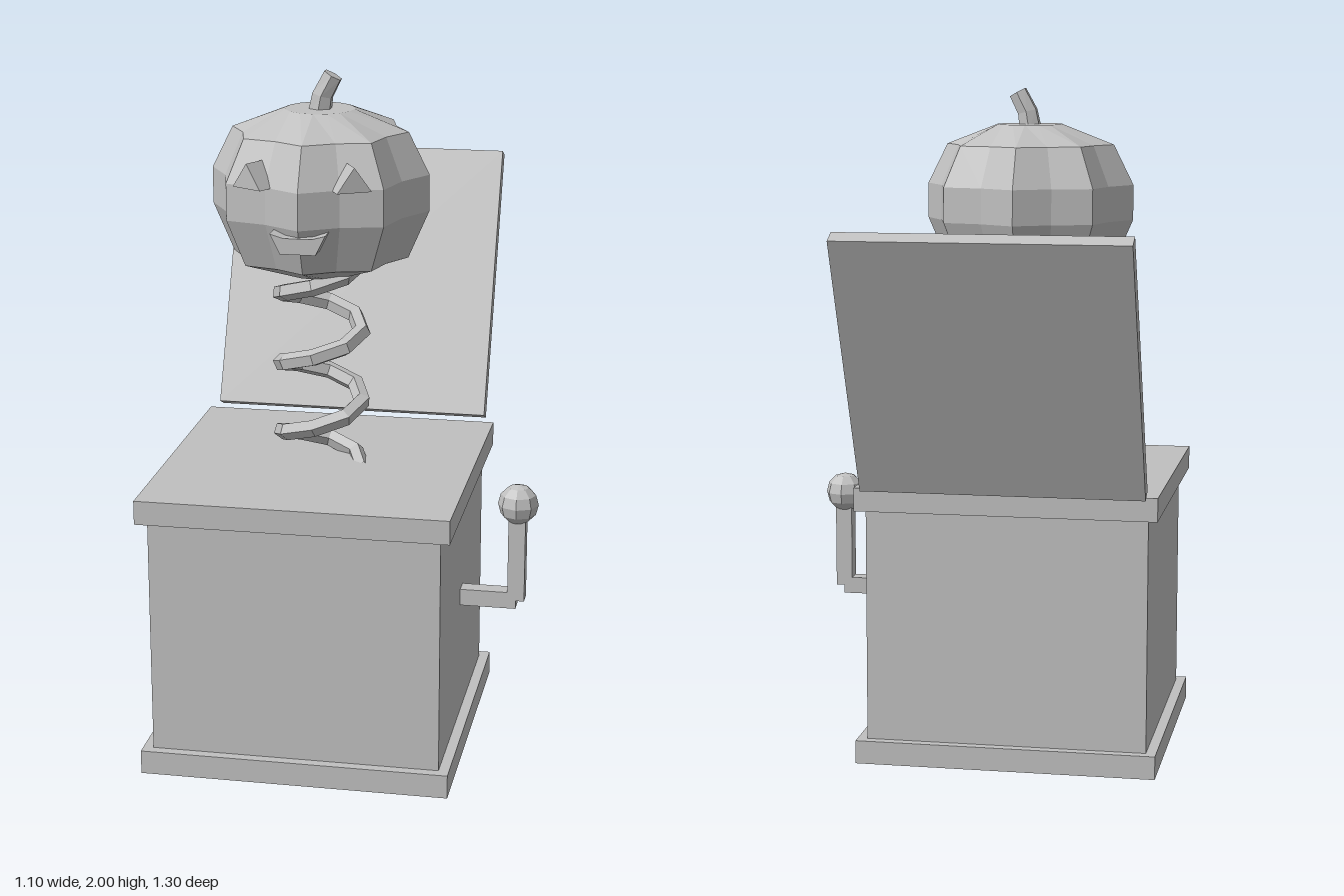
import * as THREE from 'three';

export function createModel() {
  const model = new THREE.Group();
  model.name = 'pumpkinInABox';
  const grey = new THREE.MeshStandardMaterial({ color: 0xc0c0c0 });
  grey.name = 'plain grey';
  grey.flatShading = true;

  const CX = -0.1, CZ = 0.2; // axis shared by box, spring and pumpkin

  function add(name, geometry, x = 0, y = 0, z = 0, parent = model) {
    const mesh = new THREE.Mesh(geometry, grey);
    mesh.name = name;
    mesh.position.set(x, y, z);
    parent.add(mesh);
    return mesh;
  }
  const box = (w, h, d) => new THREE.BoxGeometry(w, h, d);

  // Box with its two rims and the open lid
  add('boxBody', box(0.84, 0.76, 0.84), CX, 0.42, CZ);
  add('bottomRim', box(0.9, 0.07, 0.9), CX, 0.035, CZ);
  add('topRim', box(0.9, 0.07, 0.9), CX, 0.805, CZ);
  add('lid', box(0.84, 0.84, 0.05), CX, 1.231, -0.45).rotation.x = -THREE.MathUtils.degToRad(25);

  // Crank on the side
  const crank = new THREE.Group();
  crank.name = 'crank';
  model.add(crank);
  add('crankAxle', box(0.17, 0.05, 0.05), 0.4, 0.445, CZ, crank);
  add('crankArm', box(0.05, 0.275, 0.05), 0.485, 0.5825, CZ, crank);
  add('crankKnob', new THREE.SphereGeometry(0.06, 8, 6), 0.485, 0.74, CZ, crank);

  // Coil spring, three turns
  class Helix extends THREE.Curve {
    getPoint(t, target = new THREE.Vector3()) {
      const a = t * Math.PI * 6;
      return target.set(0.12 * Math.cos(a), 0.82 + 0.63 * t, -0.12 * Math.sin(a));
    }
  }
  add('spring', new THREE.TubeGeometry(new Helix(), 24, 0.026, 5), CX, 0, CZ);

  // Pumpkin: turned profile with every second meridian pulled in
  const pumpkin = new THREE.Group();
  pumpkin.name = 'pumpkinHead';
  pumpkin.position.set(CX, 0, CZ);
  model.add(pumpkin);
  const profile = [[0, 1.415], [0.1, 1.415], [0.255, 1.467], [0.315, 1.605],
    [0.315, 1.71], [0.255, 1.83], [0.1, 1.89], [0, 1.89]].map(p => new THREE.Vector2(...p));
  const skin = new THREE.LatheGeometry(profile, 16);
  const pos = skin.attributes.position;
  for (let i = 0; i < pos.count; i++) {
    const meridian = Math.floor(i / profile.length);
    const r = Math.hypot(pos.getX(i), pos.getZ(i));
    if (meridian % 2 === 1 && r > 0.15) {
      pos.setX(i, pos.getX(i) * 0.87);
      pos.setZ(i, pos.getZ(i) * 0.87);
    }
  }
  add('pumpkinSkin', skin, 0, 0, 0, pumpkin);

  // Bent stem
  const stem = new THREE.CylinderGeometry(0.026, 0.036, 0.12, 6, 2);
  const sp = stem.attributes.position;
  for (let i = 0; i < sp.count; i++) {
    const x = sp.getX(i), t = sp.getY(i) / 0.12 + 0.5;
    const lean = 0.04 * t * t;
    sp.setXYZ(i, x + lean - 0.002, 1.87 + 0.115 * t - x * 0.55 * t, sp.getZ(i));
  }
  add('stem', stem, 0, 0, 0, pumpkin);

  // Carved face, raised from the skin
  const plate = (points, depth) => new THREE.ExtrudeGeometry(
    new THREE.Shape(points.map(p => new THREE.Vector2(...p))), { depth, bevelEnabled: false });
  for (const side of [-1, 1]) {
    const eye = new THREE.Group();
    eye.name = side > 0 ? 'leftEye' : 'rightEye';
    eye.rotation.y = side * 0.5;
    pumpkin.add(eye);
    add('eyeWedge', plate([[-0.05, 1.71], [0.05, 1.71], [0, 1.78]], 0.075), 0, 0, 0.241, eye);
  }
  add('mouth', plate([[-0.05, -0.025], [0.05, -0.025], [0.078, 0.031], [0.04, 0.02],
    [-0.04, 0.02], [-0.078, 0.031]], 0.09), 0, 1.565, 0.23, pumpkin);

  return model;
}
